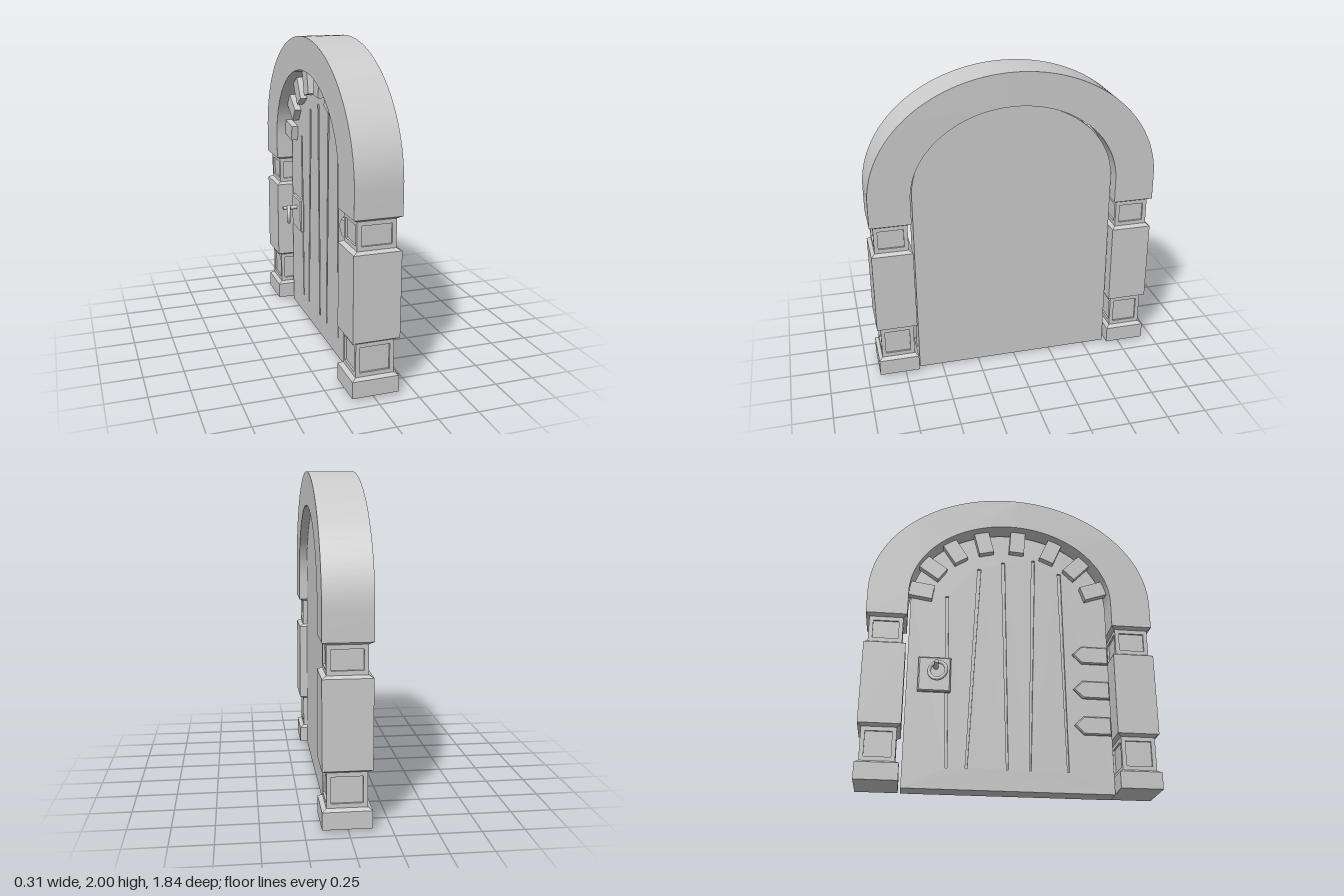
import * as THREE from 'three';
import { toCreasedNormals } from 'three/addons/utils/BufferGeometryUtils.js';

const mat = new THREE.MeshStandardMaterial({ color: 0xcccccc });
const X0 = -0.138, X1 = 0.152, XC = (X0 + X1) / 2; // stonework depth
const FACE = -0.03; // front plane of the door
const SPRING = 1.25; // height where the arch curve begins

function add(parent, name, geo) {
  const m = new THREE.Mesh(geo, mat);
  m.name = name;
  parent.add(m);
  return m;
}

// Extrude a (z, y) outline along x, from x0 to x1
function slab(shape, x0, x1, bevel = 0) {
  const g = new THREE.ExtrudeGeometry(shape, {
    depth: x1 - x0 - bevel * 2, bevelEnabled: bevel > 0, bevelSize: bevel,
    bevelThickness: bevel, bevelOffset: -bevel, bevelSegments: 1, curveSegments: 48,
  });
  g.rotateY(-Math.PI / 2);
  g.translate(x1 - bevel, 0, 0);
  return toCreasedNormals(g, 0.5);
}

// Points over a half ellipse, from +z to -z
function archPoints(a, b, n = 64) {
  return Array.from({ length: n + 1 }, (_, i) => {
    const t = (i / n) * Math.PI;
    return new THREE.Vector2(a * Math.cos(t), SPRING + b * Math.sin(t));
  });
}

const poly = (pts) => new THREE.Shape(pts.map(([u, v]) => new THREE.Vector2(u, v)));

// Box whose top and bottom can have different sizes
function taper(y0, y1, w0, d0, w1, d1) {
  const g = new THREE.BoxGeometry(1, y1 - y0, 1).toNonIndexed();
  const p = g.attributes.position;
  for (let i = 0; i < p.count; i++) {
    const top = p.getY(i) > 0;
    p.setX(i, p.getX(i) * (top ? w1 : w0));
    p.setZ(i, p.getZ(i) * (top ? d1 : d0));
  }
  g.translate(0, (y0 + y1) / 2, 0);
  g.computeVertexNormals();
  return g;
}

// Raised rectangular border with a sloping inner edge left to the bevel
function border(w, h, rim, depth) {
  const s = poly([[-w / 2, -h / 2], [w / 2, -h / 2], [w / 2, h / 2], [-w / 2, h / 2]]);
  const a = w / 2 - rim, b = h / 2 - rim;
  s.holes.push(new THREE.Path([[-a, -b], [-a, b], [a, b], [a, -b]].map(([u, v]) => new THREE.Vector2(u, v))));
  return new THREE.ExtrudeGeometry(s, { depth, bevelEnabled: false });
}

// Narrow block with a sunken panel on each side
function neck(parent, y0, y1, w, d) {
  const t = 0.012, h = y1 - y0, g = new THREE.Group();
  g.name = 'panelledNeck';
  add(g, 'neckCore', new THREE.BoxGeometry(w - 2 * t, h, d - 2 * t));
  for (let i = 0; i < 4; i++) {
    const [width, out] = i % 2 ? [d, w] : [w, d];
    const frame = add(g, 'panelFrame', border(width, h, 0.026, t));
    frame.rotation.y = (i * Math.PI) / 2;
    frame.position.set(Math.sin(frame.rotation.y), 0, Math.cos(frame.rotation.y)).multiplyScalar(out / 2 - t);
  }
  g.position.y = (y0 + y1) / 2;
  parent.add(g);
}

function pillar(name) {
  const g = new THREE.Group();
  g.name = name;
  const W = X1 - X0, D = 0.26, w = 0.236, d = 0.213;
  add(g, 'base', taper(0.015, 0.12, W, D, W, D));
  add(g, 'baseChamfer', taper(0.12, 0.135, W, D, w, d));
  neck(g, 0.135, 0.345, w, d);
  add(g, 'shaftLowerChamfer', taper(0.345, 0.36, w, d, W, D));
  add(g, 'shaft', taper(0.36, 0.888, W, D, W, D));
  add(g, 'shaftUpperChamfer', taper(0.888, 0.903, W, D, w, d));
  neck(g, 0.903, 1.075, w, d);
  add(g, 'archChamfer', taper(1.075, 1.09, w, d, W, D));
  return g;
}

function buildDoor() {
  const g = new THREE.Group();
  g.name = 'door';
  const outline = () => new THREE.Shape([
    new THREE.Vector2(-0.645, 0), new THREE.Vector2(0.65, 0), ...archPoints(0.645, 0.53, 48),
  ]);
  add(g, 'doorSlab', slab(outline(), FACE + 0.015, 0.1));

  // Front skin cut by slim, slightly slanted plank grooves: bottom z, top z, top y
  const skin = outline();
  for (const [zb, zt, yt] of [[-0.38, -0.41, 1.29], [-0.26, -0.2, 1.51], [-0.01, -0.04, 1.57], [0.13, 0.165, 1.6], [0.365, 0.34, 1.51]]) {
    skin.holes.push(new THREE.Path([
      [zb - 0.006, 0.13], [zt - 0.011, yt], [zt + 0.011, yt], [zb + 0.006, 0.13],
    ].map(([u, v]) => new THREE.Vector2(u, v))));
  }
  add(g, 'doorPlanks', slab(skin, FACE, FACE + 0.015));

  // Pointed hinge straps
  for (const y of [0.43, 0.67, 0.91]) {
    const s = poly([[0.41, y], [0.47, y - 0.06], [0.645, y - 0.06], [0.645, y + 0.06], [0.47, y + 0.06]]);
    add(g, 'hingeStrap', slab(s, FACE - 0.02, FACE + 0.005, 0.008));
  }

  // Blocks radiating around the curved edge
  for (const deg of [16, 40, 62, 85, 107, 128, 150, 173]) {
    const t = (deg * Math.PI) / 180;
    const b = add(g, 'edgeBlock', new THREE.BoxGeometry(0.05, 0.17, 0.1));
    const ny = Math.sin(t) / 0.54, nz = Math.cos(t) / 0.66, len = Math.hypot(ny, nz);
    b.position.set(FACE - 0.02, SPRING + 0.54 * Math.sin(t) - (0.07 * ny) / len, 0.66 * Math.cos(t) - (0.07 * nz) / len);
    b.rotation.x = Math.atan2(nz, ny);
  }

  // Handle: plate, pin and hanging ring
  const plate = poly([[-0.575, 0.61], [-0.37, 0.61], [-0.37, 0.84], [-0.575, 0.84]]);
  add(g, 'handlePlate', slab(plate, FACE - 0.025, FACE + 0.005, 0.008));
  const pin = add(g, 'handlePin', new THREE.CylinderGeometry(0.012, 0.016, 0.11, 12));
  pin.rotation.z = Math.PI / 2;
  pin.position.set(-0.1, 0.77, -0.465);
  const ring = add(g, 'handleRing', new THREE.TorusGeometry(0.055, 0.012, 10, 28));
  ring.rotation.y = Math.PI / 2 - 0.3;
  ring.position.set(-0.115, 0.725, -0.455);
  return g;
}

export function createModel() {
  const model = new THREE.Group();
  model.name = 'archedDoorway';

  // Arch with short straight legs
  const V = (z, y) => new THREE.Vector2(z, y);
  const arch = new THREE.Shape([
    V(0.66, 1.09), V(0.92, 1.09), ...archPoints(0.92, 0.75), V(-0.92, 1.09), V(-0.66, 1.09),
    ...archPoints(0.66, 0.54).reverse(),
  ]);
  add(model, 'arch', slab(arch, X0, X1));

  for (const side of [1, -1]) {
    const p = pillar(side > 0 ? 'leftPillar' : 'rightPillar');
    p.position.set(XC, 0, side * 0.79);
    model.add(p);
  }
  model.add(buildDoor());
  return model;
}
